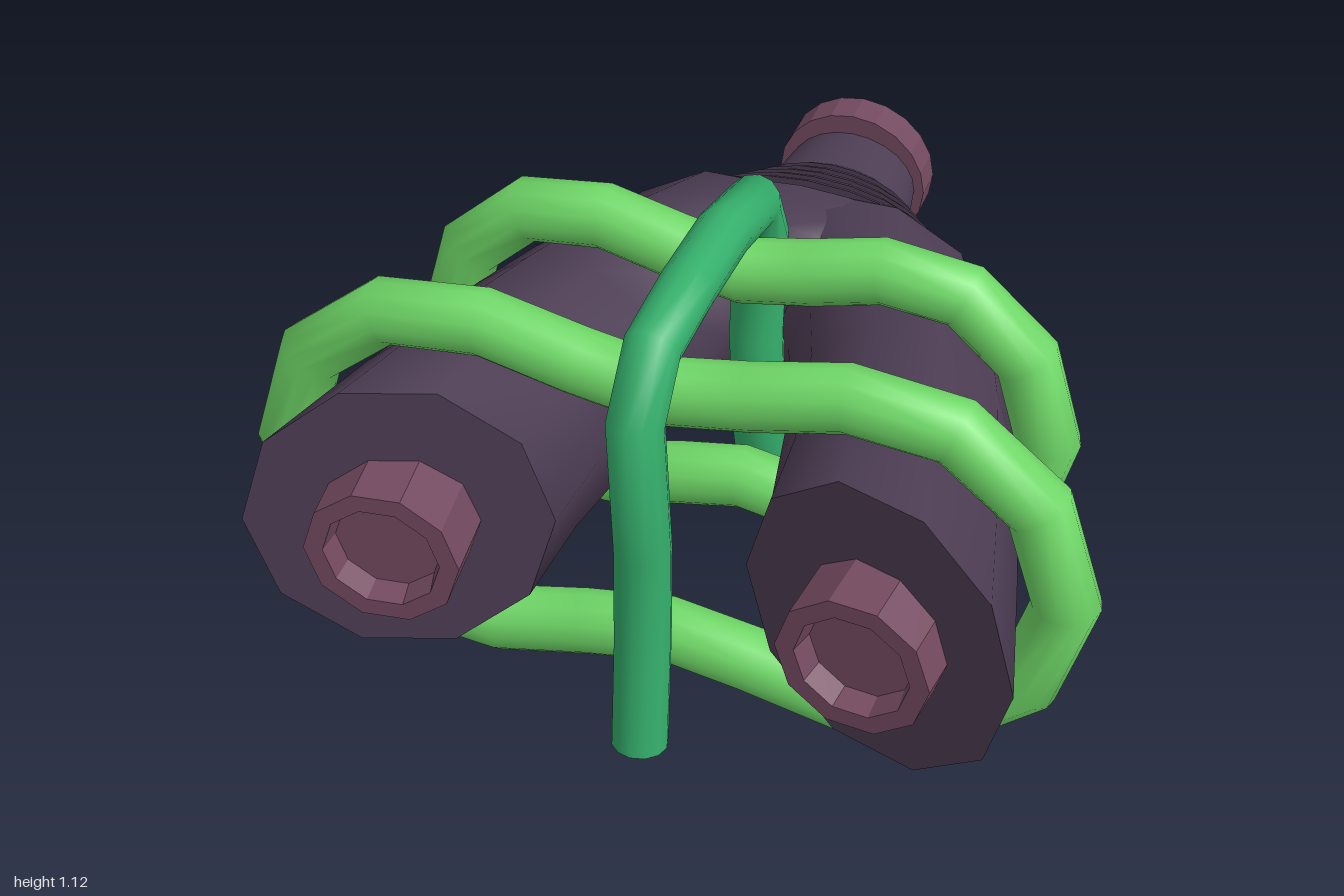
import * as THREE from 'three';

const CY = 0.54; // height of the body axis
const paint = (color, flatShading = false) => new THREE.MeshStandardMaterial({ color, flatShading });
const purple = paint(0x4d3d54), pink = paint(0x744a60, true), orange = paint(0xd9571a);
const lime = paint(0x70d968), green = paint(0x35b06c);

// Elliptical cross-section; dz slants it along x
function ring(n, cx, cz, rx, ry, dz = 0) {
  return Array.from({ length: n }, (_, j) => {
    const a = (j / n) * Math.PI * 2, c = Math.cos(a);
    return new THREE.Vector3(cx + rx * c, CY + ry * Math.sin(a), cz + dz * c);
  });
}

// Skin over rings running from front to back, with flat caps on both ends
function loft(rings) {
  const n = rings[0].length, pts = rings.flat(), idx = [];
  for (let i = 0; i < rings.length - 1; i++) {
    for (let j = 0; j < n; j++) {
      const a = i * n + j, b = i * n + (j + 1) % n;
      idx.push(a, a + n, b, b, a + n, b + n);
    }
  }
  for (const [r, front] of [[rings[0], true], [rings[rings.length - 1], false]]) {
    const base = pts.length;
    pts.push(...r);
    for (let j = 1; j < n - 1; j++) {
      idx.push(base, base + (front ? j : j + 1), base + (front ? j + 1 : j));
    }
  }
  const g = new THREE.BufferGeometry().setFromPoints(pts);
  g.setIndex(idx);
  g.computeVertexNormals();
  return g;
}

// Tube whose cross-sections sit exactly on the given points
function bentTube(points, radius, closed) {
  const curve = new THREE.CatmullRomCurve3(points, closed);
  curve.getPointAt = (u, t) => curve.getPoint(u, t);
  curve.getTangentAt = (u, t) => curve.getTangent(u, t);
  return new THREE.TubeGeometry(curve, closed ? points.length : points.length - 1, radius, 12, closed);
}

// Short round fitting along +y with a recessed end
function fitting(ro, ri, length, depth, sides) {
  const p = [[0, 0], [ro, 0], [ro, length], [ri, length], [ri * 0.92, length - depth], [0, length - depth]];
  return new THREE.LatheGeometry(p.map(([x, y]) => new THREE.Vector2(x, y)), sides, Math.PI / 2);
}

export function createModel() {
  const root = new THREE.Group();
  const add = (name, geometry, material) => {
    const m = new THREE.Mesh(geometry, material);
    m.name = name;
    root.add(m);
    return m;
  };

  // Two tapering barrels: outer x, outer z, inner x, inner z, half height
  const sections = [
    [0.893, 0.88, 0.225, 0.66, 0.36],
    [0.80, 0.50, 0.21, 0.44, 0.327],
    [0.69, 0.11, 0.145, 0.11, 0.287],
    [0.62, -0.09, 0.07, -0.11, 0.268],
    [0.54, -0.26, -0.08, -0.26, 0.262],
    [0.47, -0.41, -0.18, -0.41, 0.25],
    [0.445, -0.44, -0.18, -0.44, 0.23],
  ];
  for (const s of [1, -1]) {
    const side = s > 0 ? 'left' : 'right';
    const rings = sections.map(([xo, zo, xi, zi, h]) =>
      ring(10, s * (xo + xi) / 2, (zo + zi) / 2, (xo - xi) / 2, h / Math.sin(Math.PI * 0.4), s * (zo - zi) / 2));
    add(side + 'Barrel', loft(rings), purple);

    // Nozzle in the end of each barrel
    const nozzle = add(side + 'Nozzle', fitting(0.18, 0.135, 0.24, 0.06, 10).rotateX(Math.PI / 2), pink);
    nozzle.position.set(s * 0.57, CY, 0.665);
    nozzle.rotation.y = -s * 0.11;
  }

  // Web joining the barrels
  add('joiningHub', loft([
    [-0.16, 0.09, 0.15], [-0.2, 0.2, 0.22], [-0.25, 0.32, 0.25], [-0.31, 0.44, 0.262],
    [-0.41, 0.47, 0.262], [-0.44, 0.445, 0.24],
  ].map(([z, rx, ry]) => ring(24, 0, z, rx, ry))), purple);

  // Ribbed cone and neck at the back
  add('ribbedCore', loft([ring(24, 0, -0.43, 0.395, 0.232), ring(24, 0, -0.67, 0.19, 0.13)]), orange);
  for (let i = 0; i < 5; i++) {
    const z = -0.465 - 0.049 * i, rx = 0.405 - 0.043 * i, ry = 0.24 - 0.02 * i;
    add('coolingFin' + (i + 1), loft([ring(24, 0, z, rx, ry), ring(24, 0, z - 0.028, rx - 0.033, ry - 0.016)]), purple);
  }
  add('neck', loft([ring(24, 0, -0.66, 0.2, 0.14), ring(24, 0, -0.85, 0.165, 0.14)]), purple);
  add('rearFlange', fitting(0.192, 0.14, 0.088, 0.05, 20).rotateX(-Math.PI / 2), pink)
    .position.set(0, CY, -0.84);

  // Bands around both barrels, built from one quarter of the outline
  const quarter = [[0.925, 0], [0.85, 0.25], [0.66, 0.41], [0.42, 0.437], [0.2, 0.385], [0, 0.35]];
  const half = [...quarter, ...quarter.slice(0, -1).reverse().map(([x, y]) => [-x, y])];
  const outline = [...half, ...half.slice(1, -1).reverse().map(([x, y]) => [x, -y])];
  for (const [name, z, sx, sy] of [['frontBand', 0.552, 1, 1], ['rearBand', 0.022, 0.805, 0.885]]) {
    const pts = outline.map(([x, y]) => new THREE.Vector3(x * sx, CY - 0.003 + y * sy, z));
    add(name, bentTube(pts, 0.078, true), lime);
  }

  // Handle arching between the barrels (z, y)
  const path = [
    [0.755, 0.012], [0.72, 0.3], [0.705, 0.56], [0.73, 0.93], [0.62, 1.055], [0.4, 1.06],
    [0.16, 1.045], [-0.05, 0.99], [-0.11, 0.86], [-0.075, 0.6], [-0.1, 0.3], [-0.15, 0.077],
  ].map(([z, y]) => new THREE.Vector3(0, y, z));
  add('handle', bentTube(path, 0.066, false), green);
  for (const [end, next] of [[path[0], path[1]], [path[11], path[10]]]) {
    const cap = add('handleEnd', new THREE.CircleGeometry(0.066, 12), green);
    cap.position.copy(end);
    cap.quaternion.setFromUnitVectors(new THREE.Vector3(0, 0, 1), end.clone().sub(next).normalize());
  }
  return root;
}
